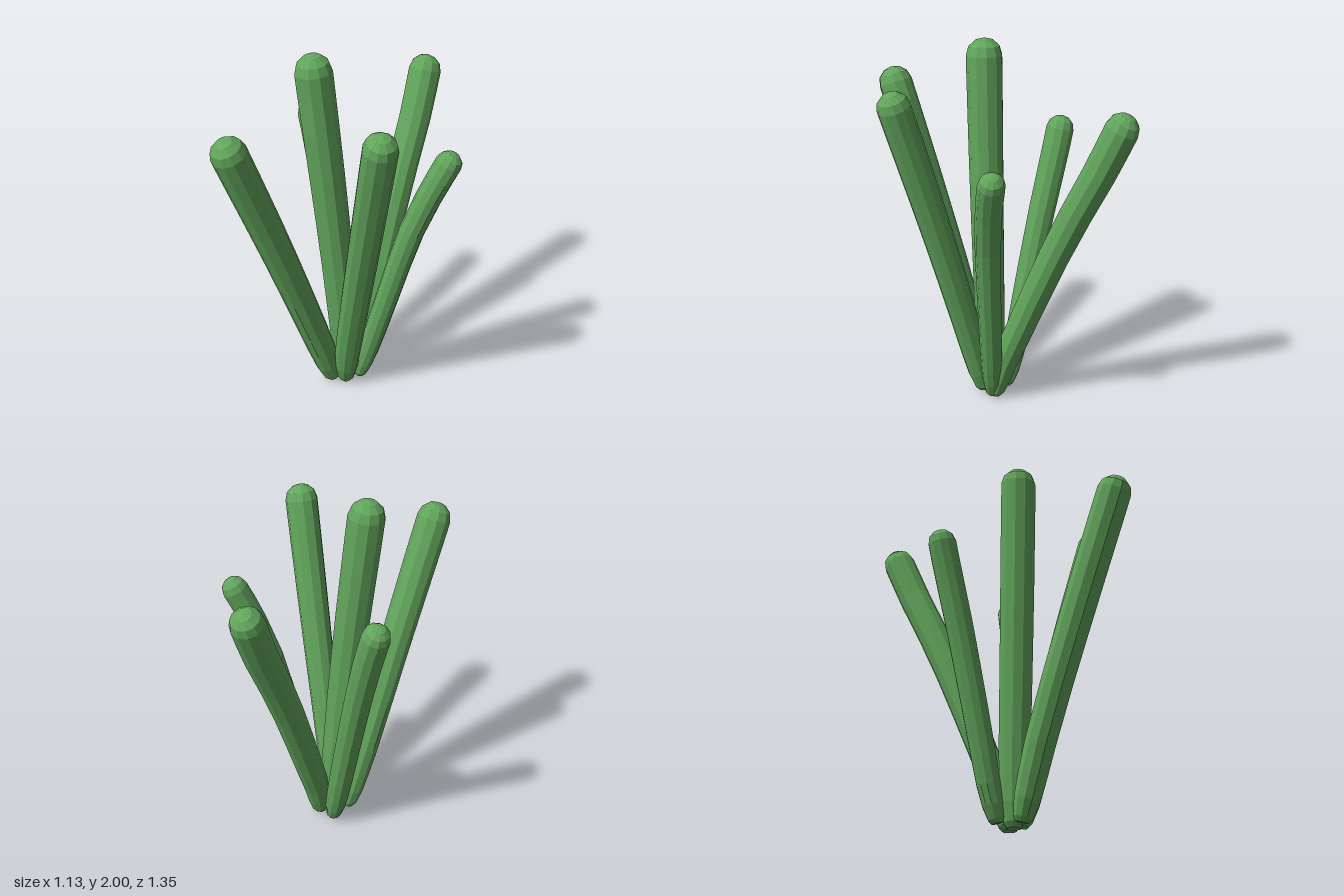
import * as THREE from 'three';

const green = new THREE.MeshStandardMaterial({ color: 0x62a55c, flatShading: true });
green.name = 'stemGreen';

// Each stem: tip radius and the centre line from foot to centre of the rounded tip
const STEMS = [
  ['frontRightStem', 0.092, [[-0.105, 0.02, 0.1], [-0.143, 0.2, 0.142], [-0.2, 0.45, 0.205], [-0.33, 1.05, 0.385], [-0.475, 1.68, 0.585]]],
  ['tallStem', 0.096, [[-0.03, 0.01, 0.06], [-0.04, 0.25, 0.06], [-0.055, 0.5, 0.065], [-0.105, 1.1, 0.077], [-0.185, 1.908, 0.09]]],
  ['frontLeftStem', 0.087, [[-0.028, 0.02, 0.1], [-0.012, 0.2, 0.14], [0.024, 0.45, 0.195], [0.12, 1.05, 0.34], [0.235, 1.755, 0.525]]],
  ['leftStem', 0.07, [[0.04, 0.02, 0.05], [0.092, 0.2, 0.053], [0.16, 0.45, 0.057], [0.325, 1.05, 0.065], [0.425, 1.3, 0.057], [0.494, 1.448, 0.044]]],
  ['backLeftStem', 0.088, [[0.04, 0.02, 0.035], [0.052, 0.2, -0.01], [0.083, 0.45, -0.1], [0.168, 1.05, -0.33], [0.232, 1.42, -0.495], [0.262, 1.655, -0.593]]],
  ['backRightStem', 0.075, [[-0.045, 0.03, -0.025], [-0.075, 0.2, -0.065], [-0.115, 0.45, -0.11], [-0.215, 1.05, -0.225], [-0.275, 1.35, -0.29], [-0.305, 1.473, -0.315]]],
];

// Straight profile (radius, fraction of length) bent along the centre line
function stemGeometry(r, points) {
  const curve = new THREE.CatmullRomCurve3(points.map(p => new THREE.Vector3(...p)));
  const length = curve.getLength();
  const profile = [[0, -0.005], [0.38, -0.005], [0.56, 0.01], [0.74, 0.06], [0.82, 0.13], [0.87, 0.22], [0.91, 0.4],
    [0.94, 0.55], [0.97, 0.7], [0.99, 0.85], [1, 0.94], [1, 1]].map(([s, t]) => new THREE.Vector2(s * r, t));
  for (const a of [0.55, 1.08, Math.PI / 2]) {
    profile.push(new THREE.Vector2(a > 1.5 ? 0 : r * Math.cos(a), 1 + r * 0.95 * Math.sin(a) / length));
  }
  const geo = new THREE.LatheGeometry(profile, 11);
  const pos = geo.attributes.position;
  const v = new THREE.Vector3();
  for (let i = 0; i < pos.count; i++) {
    v.fromBufferAttribute(pos, i);
    const t = THREE.MathUtils.clamp(v.y, 0, 1);
    const tangent = curve.getTangentAt(t);
    const side = new THREE.Vector3(1, 0, 0).addScaledVector(tangent, -tangent.x).normalize();
    const front = new THREE.Vector3().crossVectors(side, tangent);
    const p = curve.getPointAt(t)
      .addScaledVector(tangent, (v.y - t) * length)
      .addScaledVector(side, v.x)
      .addScaledVector(front, v.z);
    pos.setXYZ(i, p.x, Math.max(p.y, 0), p.z);
  }
  geo.computeVertexNormals();
  return geo;
}

export function createModel() {
  const group = new THREE.Group();
  group.name = 'stemCluster';
  for (const [name, r, points] of STEMS) {
    const stem = new THREE.Mesh(stemGeometry(r, points), green);
    stem.name = name;
    group.add(stem);
  }
  return group;
}
